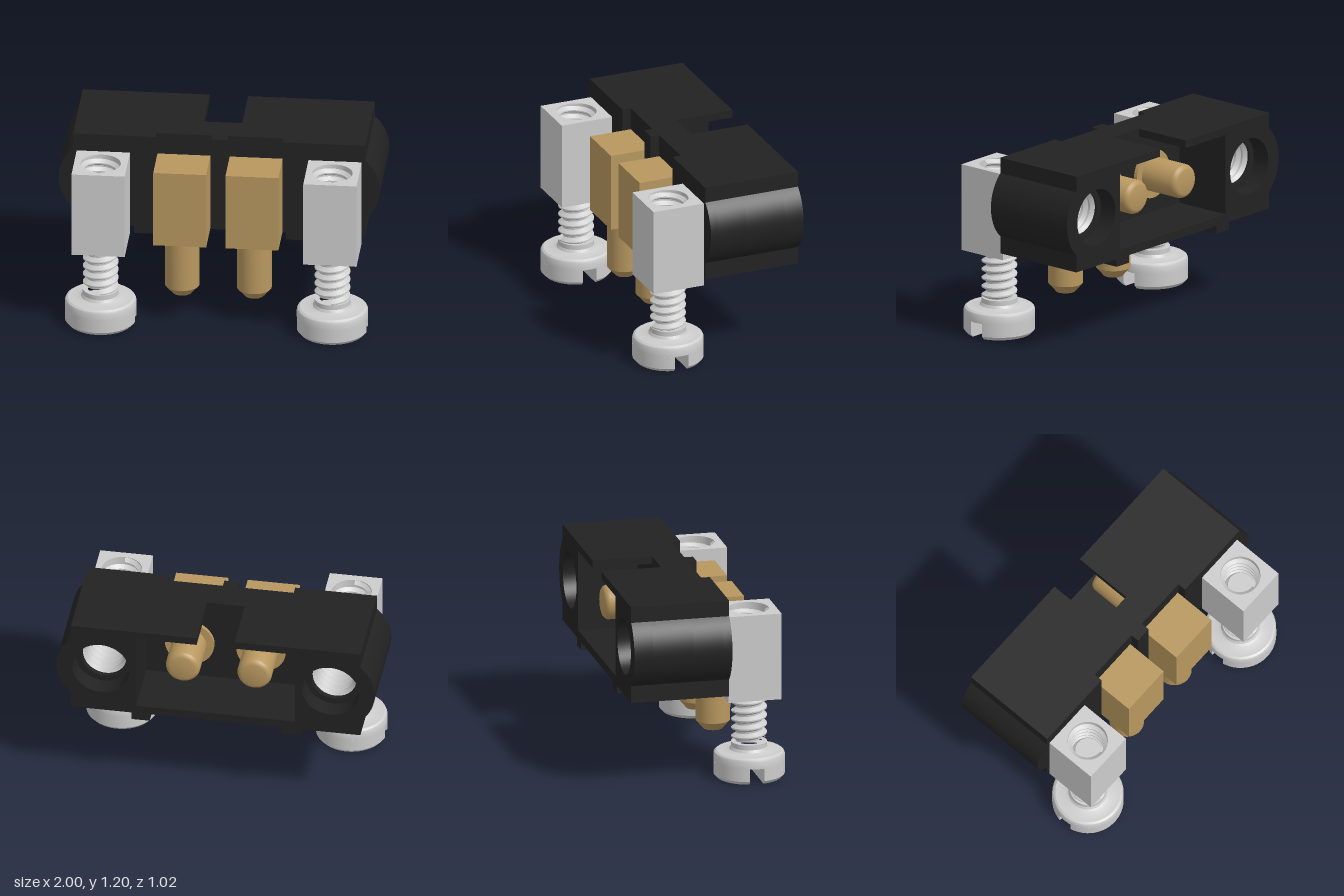
import * as THREE from 'three';
import { toCreasedNormals } from 'three/addons/utils/BufferGeometryUtils.js';

const black = new THREE.MeshStandardMaterial({ color: 0x222222 });
black.name = 'black plastic';
const steel = new THREE.MeshStandardMaterial({ color: 0xcccccc });
steel.name = 'steel';
const brass = new THREE.MeshStandardMaterial({ color: 0xb8975f });
brass.name = 'brass';

const PORT_X = 0.722, PORT_Y = 0.895, SCREW_Z = 0.287, PIN_X = 0.225;
const V = (list) => list.map(([x, y]) => new THREE.Vector2(x, y));

function add(parent, name, geometry, material, x = 0, y = 0, z = 0) {
  const mesh = new THREE.Mesh(geometry, material);
  mesh.name = name;
  mesh.position.set(x, y, z);
  parent.add(mesh);
  return mesh;
}

const crease = (g, angle = 0.5) => toCreasedNormals(g, angle);
const lathe = (pts, segs = 48) => crease(new THREE.LatheGeometry(V(pts), segs));

function extrude(points, depth, holes = []) {
  const shape = new THREE.Shape(V(points));
  for (const [x, y, r] of holes) {
    shape.holes.push(new THREE.Path().absarc(x, y, r, 0, Math.PI * 2, true));
  }
  return crease(new THREE.ExtrudeGeometry(shape, { depth, bevelEnabled: false, curveSegments: 24 }));
}

// Helical thread: a ridged lathe whose vertices climb one pitch per turn
function thread(root, crest, length, pitch, inside = false) {
  const turns = Math.round(length / pitch) - 1;
  const pts = [];
  for (let i = 0; i < turns; i++) {
    for (const [f, r] of [[0, root], [0.2, root], [0.5, crest], [0.65, crest]]) pts.push([r, (i + f) * pitch]);
  }
  pts.push([root, turns * pitch]);
  if (inside) pts.reverse();
  const segs = 40;
  const g = new THREE.LatheGeometry(V(pts), segs);
  const p = g.attributes.position;
  for (let i = 0; i < p.count; i++) {
    p.setY(i, p.getY(i) + pitch * Math.floor(i / pts.length) / segs);
  }
  return crease(g, 0.4);
}

// Right half of the housing outline, bottom to top, with foot and round cheek
function halfOutline() {
  const pts = [[0.415, 0.58], [0.415, 0.53], [0.53, 0.53], [0.53, 0.58], [0.91, 0.58]];
  const a = Math.acos(0.188 / 0.278);
  for (let i = 0; i <= 24; i++) {
    const t = -a + (2 * a * i) / 24;
    pts.push([PORT_X + 0.278 * Math.cos(t), PORT_Y + 0.278 * Math.sin(t)]);
  }
  pts.push([0.91, 1.2]);
  return pts;
}
const flip = (pts) => pts.map(([x, y]) => [-x, y]).reverse();

function buildHousing() {
  const g = new THREE.Group();
  g.name = 'housing';
  const half = halfOutline();
  // the open part is cut by the rear cavity and the key notch in its roof
  const open = [...half, [0.12, 1.2], [0.12, 1.15], [0.5, 1.15], [0.5, 0.635]];
  const openLoop = [...open, ...flip(open)];
  const ports = (r) => [[PORT_X, PORT_Y, r], [-PORT_X, PORT_Y, r]];
  add(g, 'housingRear', extrude(openLoop, 0.12, ports(0.18)), black, 0, 0, -0.51);
  add(g, 'housingCavity', extrude(openLoop, 0.26, ports(0.14)), black, 0, 0, -0.39);
  add(g, 'housingCore', extrude([...half, ...flip(half)], 0.19, ports(0.14)), black, 0, 0, -0.13);
  // front layer with a recess behind each contact block
  const end = [[0.395, 0.58], ...half, [0.395, 1.2]];
  add(g, 'housingFrontLeft', extrude(end, 0.055, [[PORT_X, PORT_Y, 0.14]]), black, 0, 0, 0.06);
  add(g, 'housingFrontRight', extrude(flip(end), 0.055, [[-PORT_X, PORT_Y, 0.14]]), black, 0, 0, 0.06);
  add(g, 'centreRib', new THREE.BoxGeometry(0.1, 0.62, 0.055), black, 0, 0.89, 0.0875);
  return g;
}

function buildContact(x) {
  const g = new THREE.Group();
  g.name = 'contact';
  g.position.x = x;
  add(g, 'contactBlock', new THREE.BoxGeometry(0.33, 0.5, 0.275), brass, 0, 0.81, 0.1975);
  add(g, 'solderPin', lathe([[0, 0.17], [0.06, 0.17], [0.108, 0.225], [0.108, 0.57]]), brass, 0, 0, 0.175);
  // mating pin with a collar, pointing to the rear
  const pin = lathe([
    [0.155, 0], [0.155, 0.025], [0.108, 0.025], [0.108, 0.262], [0.102, 0.277], [0.09, 0.288], [0.078, 0.292], [0, 0.292],
  ]);
  add(g, 'matingPin', pin, brass, 0, 0.89, -0.13).rotation.x = -Math.PI / 2;
  return g;
}

// One side of the slotted head: a circle segment, tapered at the bottom when chamfered
function headHalf(depth, chamfer) {
  const R = 0.222, slot = 0.045, a = Math.asin(slot / R), pts = [];
  for (let i = 0; i <= 28; i++) {
    const t = a + ((Math.PI - 2 * a) * i) / 28;
    pts.push([R * Math.cos(t), R * Math.sin(t)]);
  }
  const g = extrude(pts, depth);
  const p = g.attributes.position;
  for (let i = 0; chamfer && i < p.count; i++) {
    if (p.getZ(i) < 1e-4) p.setXY(i, p.getX(i) * 0.91, slot + (p.getY(i) - slot) * 0.89);
  }
  return crease(g).rotateX(-Math.PI / 2);
}

function buildScrew(x) {
  const g = new THREE.Group();
  g.name = 'screw';
  g.position.set(x, 0, SCREW_Z);
  for (const turn of [0, Math.PI]) {
    add(g, 'headChamfer', headHalf(0.022, true), steel).rotation.y = turn;
    add(g, 'slottedHead', headHalf(0.081, false), steel, 0, 0.022, 0).rotation.y = turn;
  }
  add(g, 'headTop', lathe([
    [0, 0.103], [0.222, 0.103], [0.222, 0.147], [0.216, 0.161], [0.203, 0.17],
    [0.14, 0.17], [0.122, 0.178], [0.112, 0.195], [0.112, 0.226], [0.08, 0.226],
  ]), steel);
  add(g, 'screwThread', thread(0.083, 0.111, 0.715, 0.055), steel, 0, 0.2, 0);
  add(g, 'screwTip', lathe([[0.083, 0.8], [0.083, 0.92], [0.078, 0.925], [0, 0.925]]), steel);
  return g;
}

function buildTerminal(x) {
  const g = new THREE.Group();
  g.name = 'terminal';
  g.position.x = x;
  // block bored from top to bottom
  const w = 0.166;
  const block = extrude([[-w, -0.17], [w, -0.17], [w, 0.17], [-w, 0.17]], 0.555, [[0, 0, 0.125]]);
  add(g, 'terminalBlock', block.rotateX(-Math.PI / 2), steel, 0, 0.53, 0.285);
  add(g, 'boreThread', thread(0.124, 0.1, 0.55, 0.055, true), steel, 0, 0.535, 0.285);
  // threaded liner of the rear port
  add(g, 'portThread', thread(0.139, 0.115, 0.495, 0.055, true), steel, 0, PORT_Y, 0.105).rotation.x = -Math.PI / 2;
  return g;
}

export function createModel() {
  const model = new THREE.Group();
  model.name = 'connector';
  model.add(buildHousing());
  for (const side of [1, -1]) {
    model.add(buildContact(side * PIN_X), buildScrew(side * PORT_X), buildTerminal(side * PORT_X));
  }
  return model;
}
